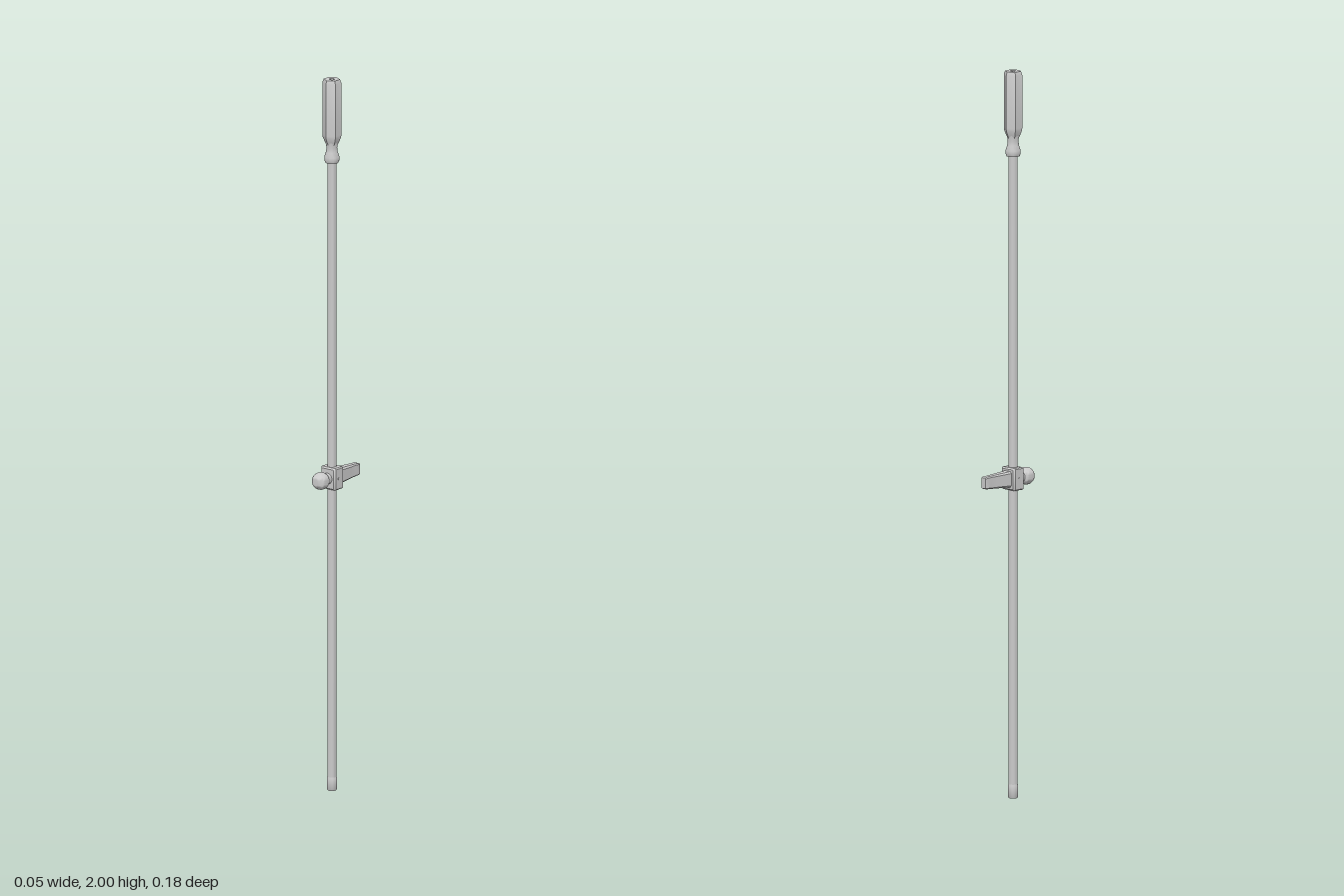
import * as THREE from 'three';
import { toCreasedNormals } from 'three/addons/utils/BufferGeometryUtils.js';

const ROD_Z = 0.018, HEAD_Y = 0.88;

export function createModel() {
  const model = new THREE.Group();
  const material = new THREE.MeshStandardMaterial({ color: 0xcccccc });

  function add(name, geometry, x = 0, y = 0, z = 0, parent = model) {
    const mesh = new THREE.Mesh(toCreasedNormals(geometry, 0.6), material);
    mesh.name = name;
    mesh.position.set(x, y, z);
    parent.add(mesh);
    return mesh;
  }
  const lathe = (points, sides) =>
    new THREE.LatheGeometry(points.map(([r, y]) => new THREE.Vector2(r, y)), sides);

  // Octagonal-outline loft along z from rows of [z, half width, half height, corner cut]
  function loft(rows) {
    const pos = [], index = [];
    for (const [z, w, h, c] of rows) {
      for (const [x, y] of [[w, c - h], [w, h - c], [w - c, h], [c - w, h],
        [-w, h - c], [-w, c - h], [c - w, -h], [w - c, -h]]) pos.push(x, y, z);
    }
    for (let r = 0; r < rows.length - 1; r++) for (let i = 0; i < 8; i++) {
      const a = r * 8 + i, b = r * 8 + (i + 1) % 8;
      index.push(a, b, b + 8, a, b + 8, a + 8);
    }
    const last = (rows.length - 1) * 8;
    for (let i = 1; i < 7; i++) index.push(0, i + 1, i, last, last + i, last + i + 1);
    const g = new THREE.BufferGeometry();
    g.setAttribute('position', new THREE.Float32BufferAttribute(pos, 3));
    g.setIndex(index);
    return g;
  }

  // Long shaft with a slightly thicker foot ferrule
  add('shaft', new THREE.CylinderGeometry(0.0125, 0.0125, 1.77, 16), 0, 0.89, ROD_Z);
  add('footFerrule', lathe([[0, 0], [0.012, 0], [0.0138, 0.004], [0.0138, 0.034],
    [0.0125, 0.038]], 16), 0, 0, ROD_Z);

  // Hexagonal grip with bevelled ends and a shallow hole in its top
  add('grip', lathe([[0.014, 1.812], [0.019, 1.822], [0.0255, 1.838], [0.026, 1.845],
    [0.026, 1.99], [0.0225, 2], [0.008, 2], [0.008, 1.985], [0, 1.985]], 6), 0, 0, ROD_Z);
  // Round neck and collar below the grip
  add('gripNeck', lathe([[0.0125, 1.766], [0.018, 1.766], [0.0205, 1.773], [0.0205, 1.782],
    [0.016, 1.796], [0.0145, 1.808], [0.017, 1.822], [0.018, 1.836]], 20), 0, 0, ROD_Z);

  // Hammer head: block, ball face, neck and tapering rear blade
  const head = new THREE.Group();
  head.name = 'hammerHead';
  head.position.y = HEAD_Y;
  model.add(head);
  add('headBlock', loft([[-0.003, 0.021, 0.027, 0.002], [0.002, 0.0255, 0.031, 0.003],
    [0.032, 0.0255, 0.031, 0.003], [0.037, 0.021, 0.027, 0.002]]), 0, 0, 0, head);
  add('ballNeck', new THREE.CylinderGeometry(0.0155, 0.0155, 0.025, 16).rotateX(Math.PI / 2),
    0, 0, 0.04, head);
  add('ball', new THREE.SphereGeometry(0.024, 24, 16).rotateX(Math.PI / 2), 0, 0, 0.0665, head);
  add('blade', loft([[-0.094, 0.0085, 0.0145, 0.002], [-0.09, 0.0105, 0.0165, 0.003],
    [-0.074, 0.0095, 0.0175, 0.003], [-0.05, 0.0115, 0.019, 0.004],
    [0, 0.0155, 0.022, 0.005]]), 0, 0, 0, head);
  // Cross pin through the block
  add('crossPin', new THREE.CylinderGeometry(0.005, 0.005, 0.053, 12).rotateZ(Math.PI / 2),
    0, 0, ROD_Z, head);

  return model;
}
